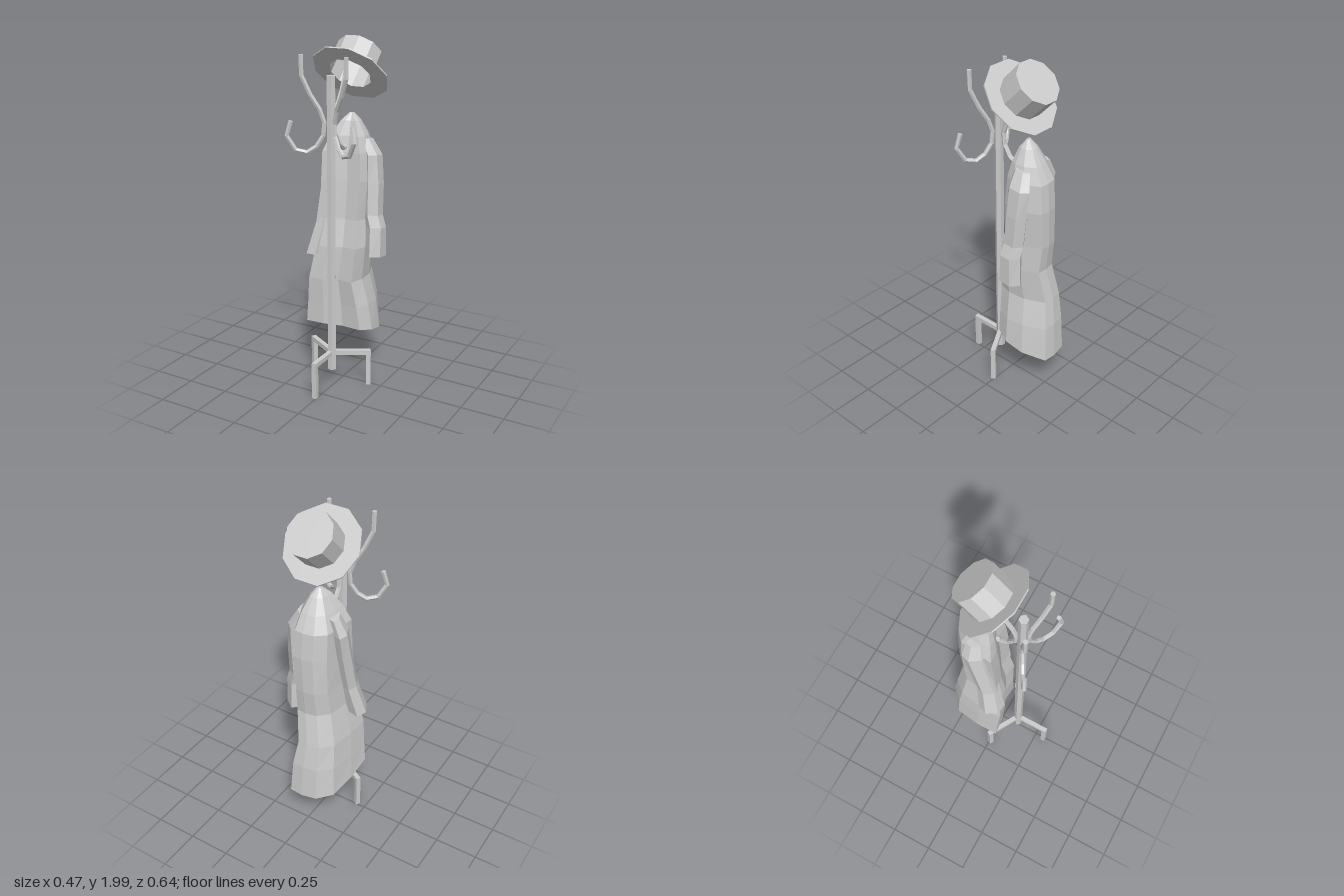
import * as THREE from 'three';

const metal = new THREE.MeshStandardMaterial({ color: 0xcccccc, flatShading: true });
const cloth = new THREE.MeshStandardMaterial({ color: 0xcccccc, flatShading: true, side: THREE.DoubleSide });
const POLE_X = -0.01, POLE_Z = 0.115;

function add(parent, name, geometry, material = metal) {
  const mesh = new THREE.Mesh(geometry, material);
  mesh.name = name;
  parent.add(mesh);
  return mesh;
}

// Skin a list of equal-sized rings of [x, y, z]; optionally close the ends
function loft(rings, capStart, capEnd) {
  const n = rings[0].length, pos = rings.flat(2), index = [];
  for (let r = 0; r < rings.length - 1; r++) {
    for (let i = 0; i < n; i++) {
      const a = r * n + i, b = r * n + (i + 1) % n;
      index.push(a, b, b + n, a, b + n, a + n);
    }
  }
  const last = (rings.length - 1) * n;
  for (let i = 1; i < n - 1; i++) {
    if (capStart) index.push(0, i + 1, i);
    if (capEnd) index.push(last, last + i, last + i + 1);
  }
  const g = new THREE.BufferGeometry();
  g.setAttribute('position', new THREE.Float32BufferAttribute(pos, 3));
  g.setIndex(index);
  g.computeVertexNormals();
  return g;
}

// Bent hook: hexagonal bar following a path in the local x-y plane
function hookGeometry() {
  const path = [[0.157, 1.91], [0.155, 1.8], [0.11, 1.7], [0.06, 1.62], [0.036, 1.55], [0.042, 1.48],
    [0.08, 1.42], [0.13, 1.388], [0.19, 1.402], [0.238, 1.48], [0.215, 1.56]];
  const rings = path.map(([x, y], k) => {
    const p = path[Math.max(k - 1, 0)], q = path[Math.min(k + 1, path.length - 1)];
    const len = Math.hypot(q[0] - p[0], q[1] - p[1]);
    const tx = (q[0] - p[0]) / len, ty = (q[1] - p[1]) / len;
    return Array.from({ length: 6 }, (_, i) => {
      const a = i * Math.PI / 3, u = 0.0135 * Math.cos(a), v = 0.0135 * Math.sin(a);
      return [x - ty * v, y + tx * v, u].map((c) => c);
    });
  });
  // ring runs from z towards the in-plane normal; reverse it to face outwards
  return loft(rings.map((r) => r.reverse()), true, true);
}

function buildStand() {
  const stand = new THREE.Group();
  stand.name = 'stand';
  stand.position.set(POLE_X, 0, POLE_Z);
  const pole = add(stand, 'pole', new THREE.CylinderGeometry(0.026, 0.026, 1.7, 6));
  pole.position.y = 0.95;
  pole.rotation.y = Math.PI / 6;

  // Three bent legs, the first pointing forward
  for (let i = 0; i < 3; i++) {
    const leg = new THREE.Group();
    leg.name = 'leg';
    leg.rotation.y = i * Math.PI * 2 / 3;
    const reach = i === 0 ? 0.205 : 0.224;
    add(leg, 'legBar', new THREE.BoxGeometry(0.027, 0.027, reach)).position.set(0, 0.205, reach / 2);
    add(leg, 'legPost', new THREE.BoxGeometry(0.027, 0.192, 0.027)).position.set(0, 0.096, reach - 0.0135);
    stand.add(leg);
  }

  // Three double hooks, the last pointing backward
  for (const degrees of [-30, 210, 90]) {
    add(stand, 'hook', hookGeometry()).rotation.y = THREE.MathUtils.degToRad(degrees);
  }
  return stand;
}

function buildHat() {
  const profile = [[0, 0.147], [0.12, 0.147], [0.12, -0.004], [0.22, -0.004], [0.22, 0.004],
    [0.13, 0.004], [0.13, 0.157], [0, 0.157]].map(([x, y]) => new THREE.Vector2(x, y));
  const hat = new THREE.Group();
  hat.name = 'hat';
  add(hat, 'crownAndBrim', new THREE.LatheGeometry(profile, 10, Math.PI / 2), cloth);
  hat.position.set(0.01, 1.794, -0.06);
  hat.rotation.x = -Math.PI / 4;
  return hat;
}

// Sleeve from rows of [y, centre x, centre z, half width, half depth]
function sleeve(rows, turn) {
  const rings = rows.map(([y, cx, cz, rx, rz]) => Array.from({ length: 6 }, (_, i) => {
    const a = i * Math.PI / 3 + Math.PI / 6;
    const x = -rx * 1.1 * Math.cos(a), z = -rz * Math.sin(a);
    return [cx + x * Math.cos(turn) + z * Math.sin(turn), y + z * 0.12, cz - x * Math.sin(turn) + z * Math.cos(turn)];
  }));
  return loft(rings, true, true);
}

function buildCoat() {
  const coat = new THREE.Group();
  coat.name = 'coat';

  // Body outline in unit space, then levels of [y, min x, max x, back z, front z]
  const outline = [[-1, 1], [-0.95, 0.25], [-0.78, -0.55], [-0.33, -0.92], [0.17, -1], [0.6, -0.97],
    [0.95, -0.3], [1, 0.3], [0.8, 0.75], [0.15, 0.7], [-0.4, 0.95]];
  const levels = [
    [1.572, -0.015, 0.01, -0.115, -0.095],
    [1.53, -0.05, 0.045, -0.155, -0.06],
    [1.45, -0.095, 0.085, -0.205, -0.025],
    [1.36, -0.135, 0.11, -0.25, 0],
    [1.2, -0.135, 0.12, -0.265, 0.015],
    [0.98, -0.135, 0.105, -0.262, 0.03],
    [0.82, -0.145, 0.115, -0.245, 0.06],
    [0.62, -0.185, 0.095, -0.28, 0.075],
    [0.46, -0.2, 0.13, -0.305, 0.065],
    [0.3, -0.212, 0.15, -0.318, 0.06],
  ];
  const rings = levels.map(([y, x0, x1, z0, z1], k) => outline.map(([u, v]) => {
    const x = (x0 + x1) / 2 + u * (x1 - x0) / 2, z = (z0 + z1) / 2 + v * (z1 - z0) / 2;
    const dip = k === levels.length - 1 ? 0.25 * (z + 0.1) : 0; // hem hangs lower at the back
    return [x, y + dip, z];
  }));
  add(coat, 'coatBody', loft(rings, true, false), cloth);

  add(coat, 'leftSleeve', sleeve([
    [1.43, 0.075, -0.13, 0.03, 0.05], [1.34, 0.115, -0.14, 0.04, 0.07], [1.18, 0.122, -0.13, 0.05, 0.066],
    [1.0, 0.125, -0.115, 0.052, 0.064], [0.93, 0.145, -0.11, 0.055, 0.064], [0.76, 0.15, -0.105, 0.052, 0.074],
  ], 0), cloth);
  add(coat, 'rightSleeve', sleeve([
    [1.43, -0.095, -0.11, 0.03, 0.05], [1.34, -0.128, -0.1, 0.04, 0.07], [1.18, -0.13, -0.07, 0.045, 0.066],
    [0.95, -0.138, -0.02, 0.045, 0.064], [0.76, -0.175, 0.018, 0.052, 0.074],
  ], 0.5), cloth);
  return coat;
}

export function createModel() {
  const model = new THREE.Group();
  model.name = 'coatRack';
  model.add(buildStand(), buildCoat(), buildHat());
  return model;
}
